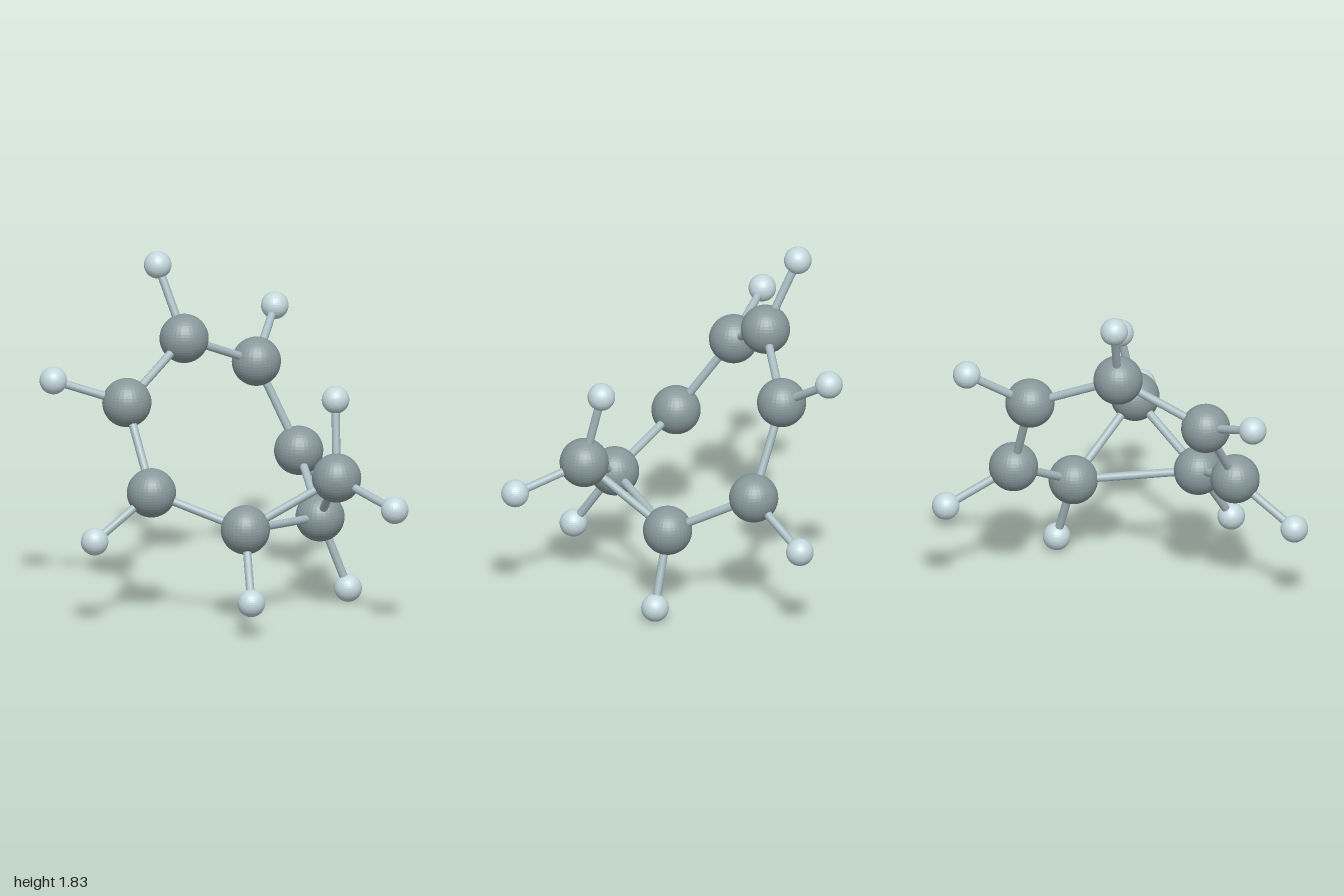
import * as THREE from 'three';

export function createModel() {
  const model = new THREE.Group();
  model.name = 'molecule';

  const carbonMat = new THREE.MeshStandardMaterial({ color: 0x87989b, flatShading: true });
  const hydrogenMat = new THREE.MeshStandardMaterial({ color: 0xc4d8dd, flatShading: true });
  const bondMat = new THREE.MeshStandardMaterial({ color: 0xa8bdc2 });

  const carbonGeo = new THREE.SphereGeometry(0.13, 32, 24);
  const hydrogenGeo = new THREE.SphereGeometry(0.073, 32, 24);
  const bondGeo = new THREE.CylinderGeometry(0.022, 0.022, 1, 16);

  // Seven-membered ring in order, then the bridging carbon
  const carbons = [
    [-0.015, 1.387, -0.59],
    [-0.48, 1.13, -0.577],
    [-0.597, 0.71, -0.297],
    [-0.34, 0.535, 0.138],
    [0.317, 0.467, 0.075],
    [0.58, 0.71, -0.313],
    [0.465, 1.183, -0.51],
    [0.04, 0.797, 0.443],
  ].map((p) => new THREE.Vector3(...p));

  // Each hydrogen: index of its carbon, then its position
  const hydrogens = [
    [0, -0.02, 1.757, -0.773],
    [1, -0.767, 1.26, -0.84],
    [2, -0.927, 0.49, -0.403],
    [3, -0.49, 0.195, 0.315],
    [4, 0.42, 0.078, 0.182],
    [5, 0.922, 0.523, -0.45],
    [6, 0.78, 1.4, -0.663],
    [7, 0.11, 1.197, 0.372],
    [7, 0.06, 0.687, 0.837],
  ];

  const addAtom = (name, geometry, material, position) => {
    const atom = new THREE.Mesh(geometry, material);
    atom.name = name;
    atom.position.copy(position);
    model.add(atom);
  };

  // Rod running between two atom centres
  const up = new THREE.Vector3(0, 1, 0);
  const addBond = (name, a, b) => {
    const bond = new THREE.Mesh(bondGeo, bondMat);
    const dir = b.clone().sub(a);
    bond.name = name;
    bond.position.copy(a).lerp(b, 0.5);
    bond.scale.y = dir.length();
    bond.quaternion.setFromUnitVectors(up, dir.normalize());
    model.add(bond);
  };

  carbons.forEach((p, i) => addAtom(`carbon${i + 1}`, carbonGeo, carbonMat, p));

  // Ring bonds
  for (let i = 0; i < 7; i++) addBond(`ringBond${i + 1}`, carbons[i], carbons[(i + 1) % 7]);

  // Bridge bonds closing the small triangle
  for (const i of [3, 4]) addBond(`bridgeBond${i - 2}`, carbons[7], carbons[i]);

  // Hydrogens with their bonds
  hydrogens.forEach(([c, x, y, z], i) => {
    const p = new THREE.Vector3(x, y, z);
    addAtom(`hydrogen${i + 1}`, hydrogenGeo, hydrogenMat, p);
    addBond(`hydrogenBond${i + 1}`, carbons[c], p);
  });

  return model;
}
